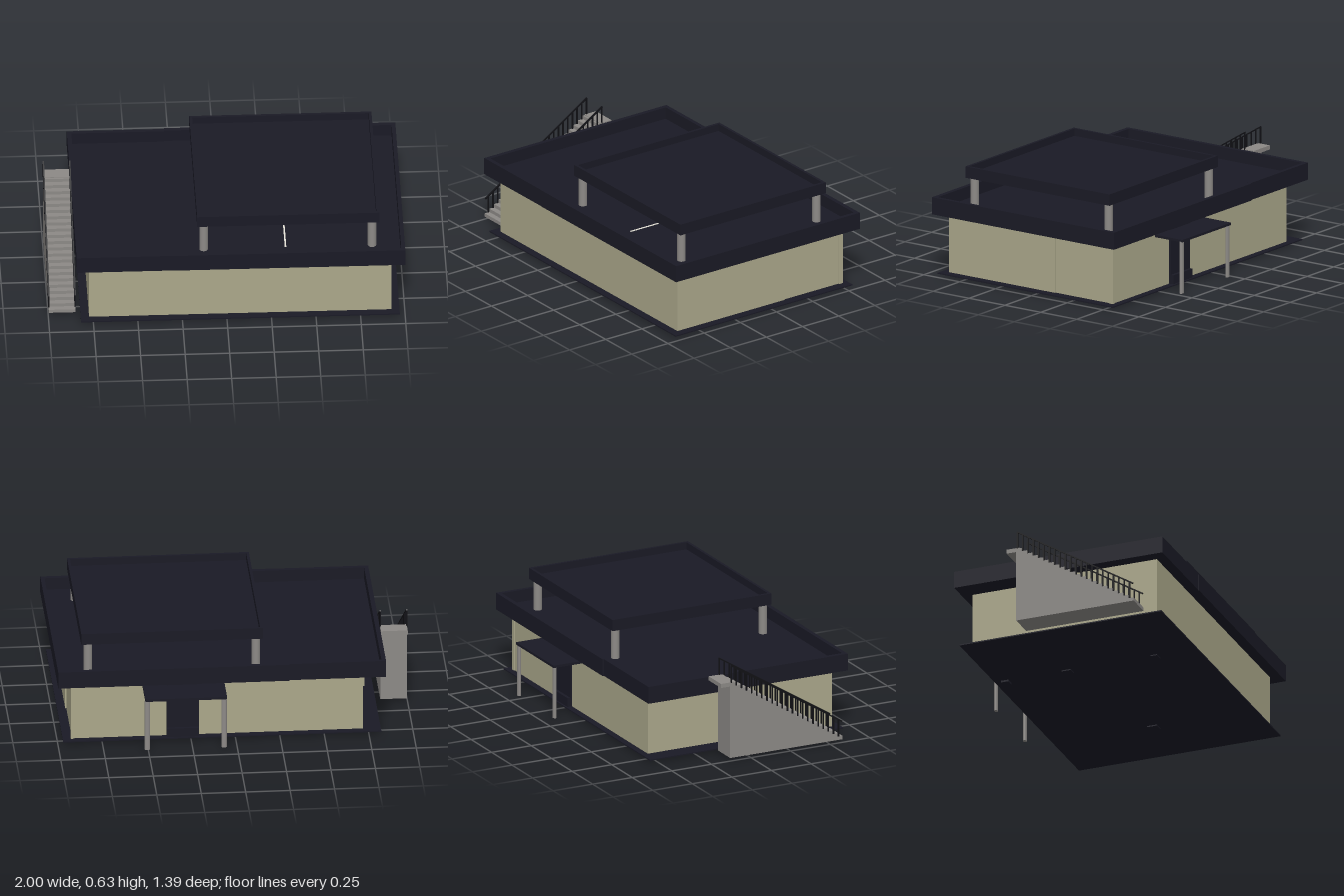
import * as THREE from 'three';

const mat = (name, color) => {
  const m = new THREE.MeshStandardMaterial({ color });
  m.name = name;
  return m;
};

export function createModel() {
  const root = new THREE.Group();
  root.name = 'house';
  const slate = mat('dark slate', 0x1a1a25);
  const beige = mat('beige wall', 0xaaa78a);
  const grey = mat('concrete grey', 0x8c8986);
  const black = mat('black metal', 0x111115);
  const pale = mat('pale trim', 0xe6e3d8);

  const add = (name, geo, material, parent = root) => {
    const mesh = new THREE.Mesh(geo, material);
    mesh.name = name;
    parent.add(mesh);
    return mesh;
  };
  // Box given by its extents on each axis
  const box = (name, material, [x0, x1], [y0, y1], [z0, z1], parent = root) => {
    const geo = new THREE.BoxGeometry(x1 - x0, y1 - y0, z1 - z0);
    geo.translate((x0 + x1) / 2, (y0 + y1) / 2, (z0 + z1) / 2);
    return add(name, geo, material, parent);
  };
  // Upright column, optionally wider along x
  const column = (name, x, z, r, y0, y1, widen = 1) => {
    const geo = new THREE.CylinderGeometry(r, r, y1 - y0, 24);
    geo.scale(widen, 1, 1);
    geo.translate(x, (y0 + y1) / 2, z);
    return add(name, geo, grey);
  };
  const group = (name) => {
    const g = new THREE.Group();
    g.name = name;
    root.add(g);
    return g;
  };

  // Ground slab with small footings beneath it
  box('groundSlab', slate, [-0.82, 0.97], [0.011, 0.018], [-0.545, 0.675]);
  for (const [x, z, d, y] of [[-0.275, 0.42, 0.04, 0.005], [0.59, 0.06, 0.06, 0.004],
    [-0.275, -0.11, 0.055, 0.004], [-0.275, -0.482, 0.045, 0]])
    box('footing', slate, [x - 0.025, x + 0.025], [y, 0.011], [z - d / 2, z + d / 2]);

  // Walls: wide front half, narrower back half, slim post at the back corner
  const wallY = [0.018, 0.361];
  box('frontWalls', beige, [-0.773, 0.924], wallY, [0.05, 0.63]);
  box('sideWalls', beige, [-0.72, 0.924], wallY, [-0.11, 0.05]);
  box('backWalls', beige, [-0.72, 0.918], wallY, [-0.507, -0.11]);
  box('cornerPost', beige, [0.903, 0.925], wallY, [-0.513, -0.487]);

  // Back door and its step
  box('door', slate, [0.205, 0.385], wallY, [-0.518, -0.507]);
  box('doorStep', slate, [0.205, 0.385], [0.018, 0.07], [-0.535, -0.46]);

  // Main roof: deep sunken deck and a parapet in two lengths
  const roof = group('mainRoof');
  const y = [0.361, 0.46];
  box('deck', slate, [-0.83, 0.985], [0.361, 0.39], [-0.555, 0.675], roof);
  box('leftParapet', slate, [-0.845, -0.82], y, [-0.567, 0.692], roof);
  box('rightParapet', slate, [0.978, 1], y, [-0.575, 0.694], roof);
  box('frontParapetLeft', slate, [-0.82, -0.3], y, [0.668, 0.692], roof);
  box('frontParapetRight', slate, [-0.3, 0.978], y, [0.668, 0.694], roof);
  box('backParapetLeft', slate, [-0.82, -0.3], y, [-0.567, -0.544], roof);
  box('backParapetRight', slate, [-0.3, 0.978], y, [-0.575, -0.55], roof);
  box('deckStrip', pale, [0.33, 0.339], [0.39, 0.393], [0.25, 0.53], roof);

  // Raised roof with rim, on four columns
  const upper = group('upperRoof');
  box('upperDeck', slate, [-0.15, 0.85], [0.565, 0.588], [-0.43, 0.553], upper);
  const uy = [0.564, 0.63];
  for (const x of [-0.163, 0.844]) box('upperRim', slate, [x, x + 0.016], uy, [-0.441, 0.563], upper);
  for (const z of [-0.441, 0.547]) box('upperRim', slate, [-0.147, 0.844], uy, [z, z + 0.016], upper);
  for (const x of [-0.125, 0.82])
    for (const z of [-0.405, 0.528]) column('roofColumn', x, z, 0.024, 0.385, 0.57);

  // Porch canopy over the back door
  box('canopy', slate, [0.06, 0.52], [0.318, 0.332], [-0.698, -0.5]);
  for (const x of [0.076, 0.508]) column('canopyColumn', x, -0.685, 0.01, 0.018, 0.32, 1.5);

  // Solid outside stair from a stepped side profile (z, y)
  const steps = 22, z0 = 0.58, zTop = -0.13, yBase = 0.017, yTop = 0.461;
  const run = (z0 - zTop) / steps, rise = (yTop - yBase) / steps;
  const profile = new THREE.Shape();
  profile.moveTo(zTop, yBase);
  profile.lineTo(z0, yBase);
  for (let i = 0; i < steps; i++) {
    profile.lineTo(z0 - i * run, yBase + (i + 1) * rise);
    profile.lineTo(z0 - (i + 1) * run, yBase + (i + 1) * rise);
  }
  const stair = new THREE.ExtrudeGeometry(profile, { depth: 0.15, bevelEnabled: false });
  stair.rotateY(-Math.PI / 2);
  stair.translate(-0.847, 0, 0);
  add('stair', stair, grey);
  // Landing slab overhanging the back of the stair
  box('landing', grey, [-0.997, -0.847], [yTop - 0.02, yTop + 0.004], [-0.188, -0.11]);

  // Railings: one baluster per step and a sloping handrail
  const slope = Math.atan2(rise, run);
  const railLength = Math.hypot(z0 - zTop, yTop - yBase) - 0.01;
  for (const x of [-0.996, -0.848]) {
    const rail = group('stairRailing');
    for (let i = 0; i < steps; i++) {
      const z = z0 - (i + 0.78) * run, top = yBase + (i + 0.78) * rise + 0.106;
      box('baluster', black, [x - 0.0035, x + 0.0035],
        [yBase + (i + 1) * rise, top], [z - 0.0035, z + 0.0035], rail);
    }
    const bar = add('handrail', new THREE.BoxGeometry(0.008, 0.007, railLength), black, rail);
    bar.position.set(x, (yBase + yTop) / 2 + 0.105, (z0 + zTop) / 2);
    bar.rotation.x = slope;
  }
  return root;
}
